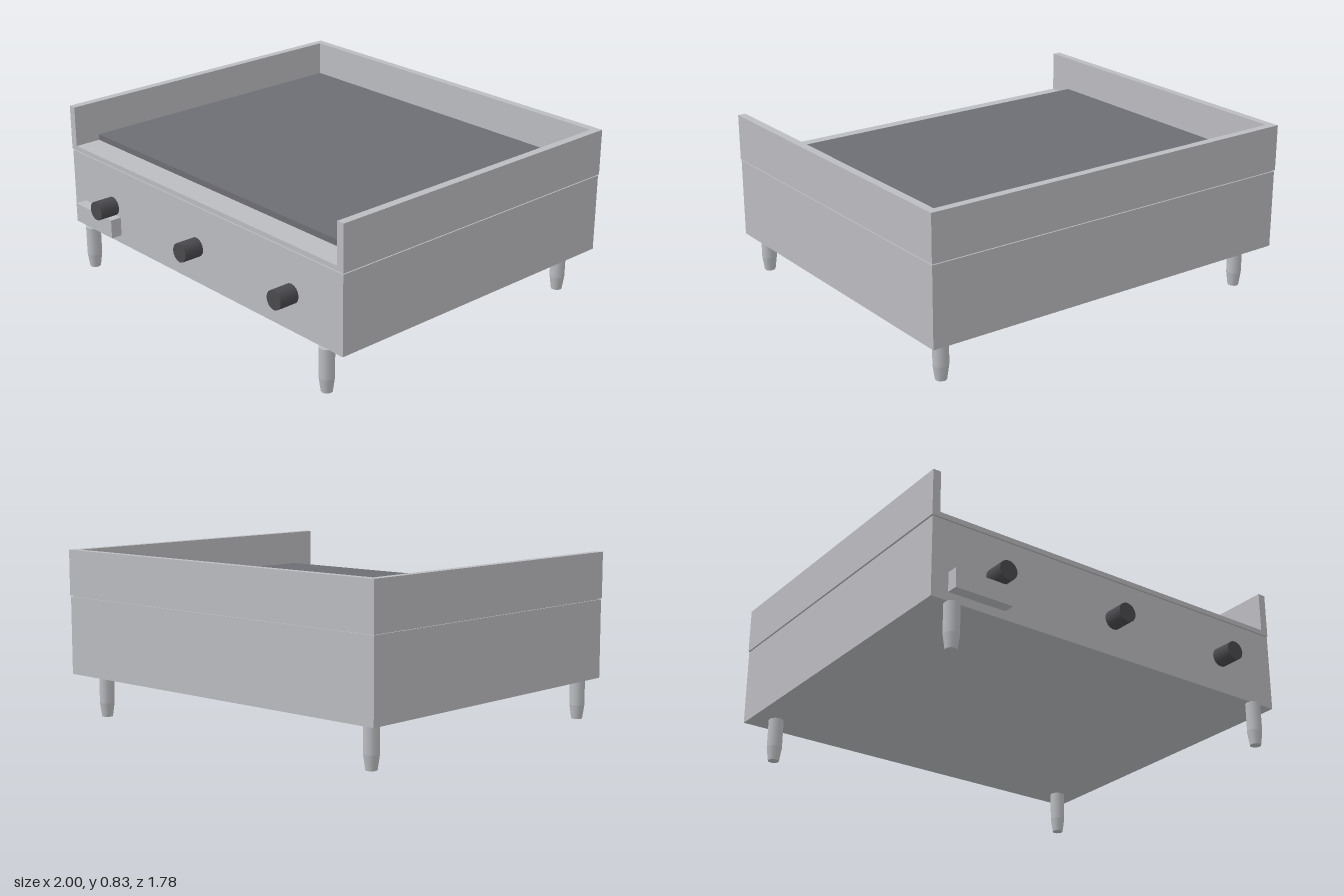
import * as THREE from 'three';

const steel = new THREE.MeshStandardMaterial({ color: 0xbbbcc0 });
steel.name = 'stainless steel';
const plateGrey = new THREE.MeshStandardMaterial({ color: 0x6d6e73 });
plateGrey.name = 'griddle grey';
const knobBlack = new THREE.MeshStandardMaterial({ color: 0x4a4a4e });
knobBlack.name = 'knob charcoal';

export function createModel() {
  const model = new THREE.Group();
  model.name = 'griddle';

  const add = (name, geometry, material, x = 0, y = 0, z = 0) => {
    const mesh = new THREE.Mesh(geometry, material);
    mesh.name = name;
    mesh.position.set(x, y, z);
    model.add(mesh);
    return mesh;
  };
  // Box given by its minimum and maximum corners
  const box = (name, material, [x0, y0, z0], [x1, y1, z1]) =>
    add(name, new THREE.BoxGeometry(x1 - x0, y1 - y0, z1 - z0), material,
      (x0 + x1) / 2, (y0 + y1) / 2, (z0 + z1) / 2);

  // Cabinet, with a narrow recessed seam below the tray
  box('cabinet', steel, [-0.997, 0.215, -0.887], [0.997, 0.602, 0.788]);
  box('seam', steel, [-0.99, 0.602, -0.88], [0.99, 0.608, 0.78]);

  // Tray floor and splash guards on three sides
  box('trayFloor', steel, [-1, 0.608, -0.89], [1, 0.632, 0.79]);
  box('backGuard', steel, [-0.96, 0.632, -0.89], [0.96, 0.835, -0.85]);
  for (const s of [-1, 1]) {
    box(s > 0 ? 'leftGuard' : 'rightGuard', steel,
      [s * 0.98 - 0.02, 0.632, -0.89], [s * 0.98 + 0.02, 0.835, 0.79]);
  }

  // Cooking plate
  box('cookingPlate', plateGrey, [-0.959, 0.632, -0.849], [0.959, 0.662, 0.655]);

  // Drip drawer front
  box('dripDrawer', steel, [-0.91, 0.258, 0.788], [-0.61, 0.353, 0.845]);

  // Control knobs
  const knobGeometry = new THREE.CylinderGeometry(0.047, 0.047, 0.104, 16).rotateX(Math.PI / 2);
  for (const x of [-0.667, 0, 0.667]) add('knob', knobGeometry, knobBlack, x, 0.398, 0.838);

  // Legs: straight shaft above a tapered foot
  const shaft = new THREE.CylinderGeometry(0.037, 0.037, 0.147, 12);
  const foot = new THREE.CylinderGeometry(0.037, 0.027, 0.07, 12);
  for (const x of [-0.88, 0.88]) {
    for (const z of [-0.768, 0.773]) {
      add('legShaft', shaft, steel, x, 0.1435, z);
      add('legFoot', foot, steel, x, 0.035, z);
    }
  }
  return model;
}
